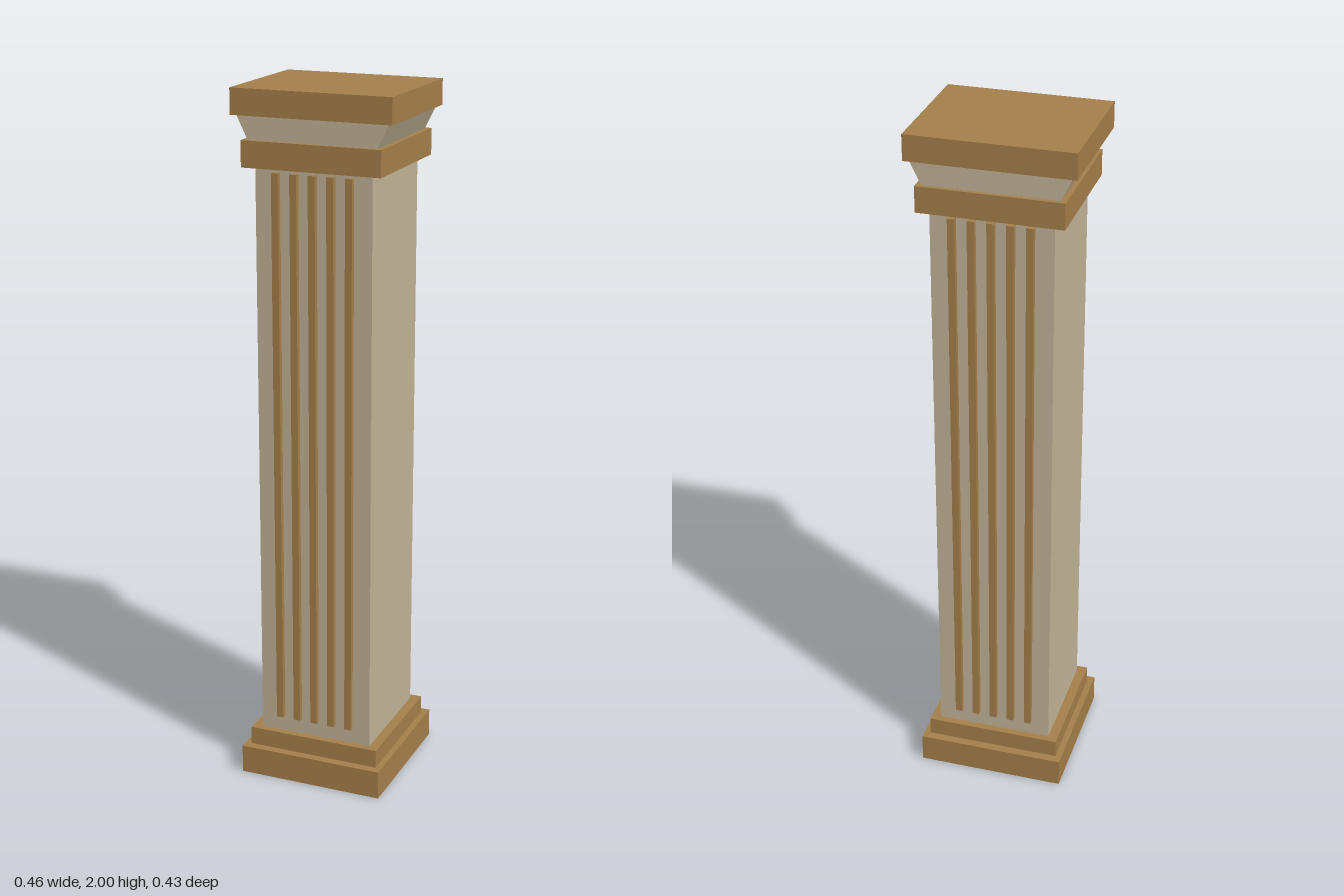
import * as THREE from 'three';

export function createModel() {
  const model = new THREE.Group();
  model.name = 'squareColumn';

  const wood = new THREE.MeshStandardMaterial({ name: 'brown trim', color: 0xa47f4a });
  const stone = new THREE.MeshStandardMaterial({ name: 'beige stone', color: 0xc1b397 });

  // Box given by its half width, half depth and vertical extent
  function block(name, halfX, halfZ, y0, y1, material, x = 0, z = 0) {
    const mesh = new THREE.Mesh(new THREE.BoxGeometry(halfX * 2, y1 - y0, halfZ * 2), material);
    mesh.name = name;
    mesh.position.set(x, (y0 + y1) / 2, z);
    model.add(mesh);
    return mesh;
  }

  // Stepped base
  block('plinth', 0.214, 0.214, 0, 0.083, wood);
  block('baseStep', 0.196, 0.189, 0.083, 0.136, wood);

  // Shaft
  block('shaft', 0.168, 0.168, 0.136, 1.79, stone);

  // Five slim ribs on the front and on the back
  for (const side of [1, -1]) {
    for (let i = -2; i <= 2; i++) {
      block(side > 0 ? 'frontRib' : 'backRib', 0.01, 0.01, 0.183, 1.78, wood, i * 0.053, side * 0.173);
    }
  }

  // Capital: collar, flared neck and top slab
  block('collar', 0.2, 0.19, 1.79, 1.863, wood);

  const flare = new THREE.Shape([
    new THREE.Vector2(-0.185, 1.863),
    new THREE.Vector2(0.185, 1.863),
    new THREE.Vector2(0.217, 1.928),
    new THREE.Vector2(-0.217, 1.928),
  ]);
  const neckGeometry = new THREE.ExtrudeGeometry(flare, { depth: 0.356, bevelEnabled: false });
  neckGeometry.translate(0, 0, -0.178);
  const neck = new THREE.Mesh(neckGeometry, stone);
  neck.name = 'flaredNeck';
  model.add(neck);

  block('topSlab', 0.23, 0.19, 1.928, 2, wood);

  return model;
}
